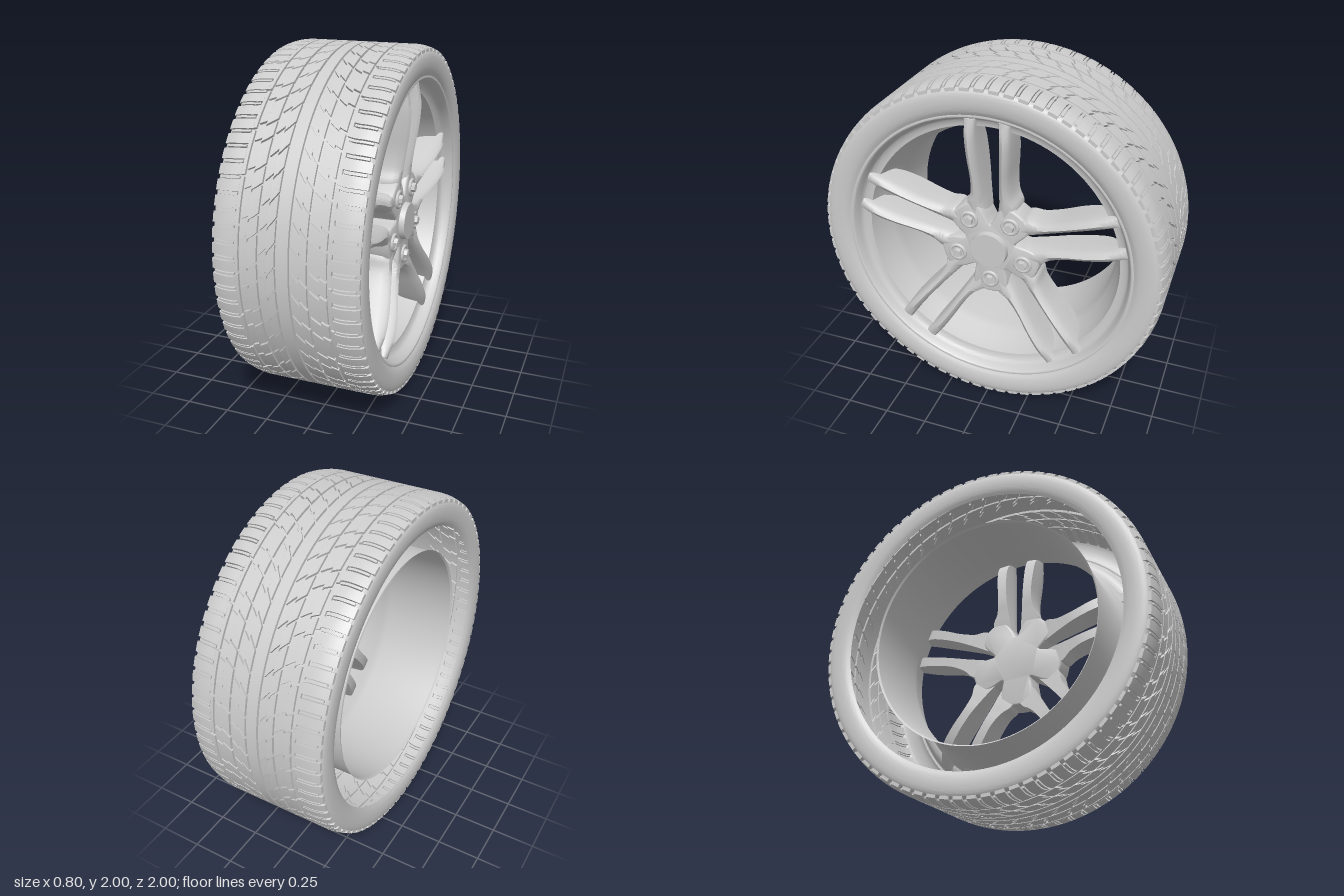
import * as THREE from 'three';
import { mergeGeometries, toCreasedNormals } from 'three/addons/utils/BufferGeometryUtils.js';

const { sin, cos, abs, max, min, PI } = Math;
const grey = new THREE.MeshStandardMaterial({ color: 0xcccccc, side: THREE.DoubleSide });
grey.name = 'light grey';

function part(name, geometry, parent) {
  const mesh = new THREE.Mesh(geometry, grey);
  mesh.name = name;
  parent.add(mesh);
  return mesh;
}

// Ring of revolution about the x axis from [radius, x] points
function ring(points, smooth = true) {
  let pts = points.map(([r, x]) => new THREE.Vector2(r, x));
  if (smooth) pts = new THREE.SplineCurve(pts).getPoints(points.length * 4);
  return toCreasedNormals(new THREE.LatheGeometry(pts, 128).rotateZ(-PI / 2), 0.6);
}

// ---- Tread: rectangular blocks bent along a sweeping curve and around the tyre
const PITCHES = 26;
const P = 2 * PI / PITCHES;
const sweep = x => 0.25 * max(0, 1 - abs(x) / 0.3) ** 2;
const crown = x => 1 - 0.02 * max(0, (abs(x) - 0.3) / 0.09) ** 2;

function treadBlock([x0, x1, t0, t1], side) {
  const g = new THREE.BoxGeometry(x1 - x0, t1 - t0, 0.03, max(2, Math.round((x1 - x0) / 0.025)), 3, 1);
  g.translate(side * (x0 + x1) / 2, (t0 + t1) / 2, -0.015);
  const p = g.attributes.position;
  for (let i = 0; i < p.count; i++) {
    const x = p.getX(i), a = p.getY(i) + sweep(x), r = crown(x) + p.getZ(i);
    p.setXYZ(i, x, r * sin(a), r * cos(a));
  }
  g.deleteAttribute('uv');
  return toCreasedNormals(g, 0.6);
}

function treadGeometry() {
  const gap = 0.014, h = P / 2, third = P / 3;
  const blocks = [
    // inner diagonal blocks with stepped edges
    [0.042, 0.085, 0, h - gap], [0.042, 0.085, h, P - gap],
    [0.085, 0.125, 0.025, h + 0.01], [0.085, 0.125, h + 0.025, P + 0.01],
    // middle blocks
    [0.138, 0.19, 0, P * 0.55], [0.138, 0.19, P * 0.55 + gap, P - gap],
    [0.19, 0.228, 0.02, P * 0.55 + 0.02], [0.19, 0.228, P * 0.55 + gap + 0.02, P + 0.006],
    // shoulder strip
    [0.238, 0.255, 0, P - gap],
  ];
  // shoulder lugs and the narrow bars between them
  for (let i = 0; i < 3; i++) {
    const t = i * third, end = t + third - 0.026;
    blocks.push([0.255, 0.39, t, end], [0.262, 0.372, end + 0.007, end + 0.019]);
  }
  const unit = mergeGeometries([1, -1].flatMap(s => blocks.map(b => treadBlock(b, s))));
  return mergeGeometries(Array.from({ length: PITCHES }, (_, i) => unit.clone().rotateX(i * P)));
}

// ---- Spokes: section lofted through stations
const SECTION = [[-1, 0], [1, 0], [1, 0.4], [0.92, 0.72], [0.65, 0.93], [0, 1],
  [-0.65, 0.93], [-0.92, 0.72], [-1, 0.4]];
// radius, inner edge, outer edge, front, back
const STATIONS = [
  [0.13, 0.02, 0.09, 0.29, 0.17], [0.25, 0.036, 0.15, 0.305, 0.15],
  [0.33, 0.046, 0.122, 0.315, 0.14], [0.43, 0.055, 0.112, 0.33, 0.13],
  [0.56, 0.062, 0.122, 0.35, 0.14], [0.68, 0.064, 0.13, 0.355, 0.18],
  [0.785, 0.06, 0.13, 0.335, 0.29],
];

function spokeGeometry(side) {
  const edges = new THREE.CatmullRomCurve3(STATIONS.map(s => new THREE.Vector3(s[0], s[1], s[2])), false, 'catmullrom');
  const depths = new THREE.CatmullRomCurve3(STATIONS.map(s => new THREE.Vector3(s[3], s[4], 0)), false, 'catmullrom');
  const section = side > 0 ? SECTION : [...SECTION].reverse();
  const n = section.length, steps = 24, pos = [], idx = [];
  for (let i = 0; i <= steps; i++) {
    const e = edges.getPoint(i / steps), d = depths.getPoint(i / steps);
    for (const [a, f] of section) {
      pos.push(side * ((e.y + e.z) / 2 + a * (e.z - e.y) / 2), e.x, d.y + f * (d.x - d.y));
    }
    if (i === steps) break;
    for (let j = 0; j < n; j++) {
      const a = i * n + j, b = i * n + (j + 1) % n;
      idx.push(a, a + n, b, b, a + n, b + n);
    }
  }
  for (let j = 1; j < n - 1; j++) { // end caps
    idx.push(0, j, j + 1, steps * n, steps * n + j + 1, steps * n + j);
  }
  const g = new THREE.BufferGeometry();
  g.setAttribute('position', new THREE.Float32BufferAttribute(pos, 3));
  g.setIndex(idx);
  return toCreasedNormals(g, 0.9);
}

// Star-like hub plate: notched at each spoke pair, full around each bolt
function hubGeometry() {
  const pts = [];
  for (let i = 0; i < 120; i++) {
    const off = abs(((i * 3 + 36) % 72) - 36);
    const k = min(1, max(0, (off - 3) / 17));
    const r = 0.145 + 0.14 * k * k * (3 - 2 * k);
    const a = PI / 2 + i * PI / 60;
    pts.push(new THREE.Vector2(r * cos(a), r * sin(a)));
  }
  const g = new THREE.ExtrudeGeometry(new THREE.Shape(pts), {
    depth: 0.11, bevelEnabled: true, bevelThickness: 0.02, bevelSize: 0.012, bevelSegments: 3,
  });
  return toCreasedNormals(g.translate(0, 0, 0.17), 0.7);
}

export function createModel() {
  const wheel = new THREE.Group();
  wheel.name = 'wheel';
  const body = new THREE.Group();
  body.name = 'wheelBody';
  body.position.y = 1;
  wheel.add(body);

  // Tyre
  const tyre = new THREE.Group();
  tyre.name = 'tyre';
  body.add(tyre);
  part('treadBase', ring([[0.968, -0.385], [0.985, -0.3], [0.985, 0.3], [0.968, 0.385]], false), tyre);
  part('centreRib', ring([[0.985, -0.031], [1, -0.03], [1, 0.03], [0.985, 0.031]], false), tyre);
  part('treadBlocks', treadGeometry(), tyre);
  for (const s of [1, -1]) {
    part(s > 0 ? 'outerSidewall' : 'innerSidewall', ring([[0.832, 0.378], [0.86, 0.393], [0.9, 0.4],
      [0.94, 0.398], [0.965, 0.388], [0.977, 0.37]].map(([r, x]) => [r, s * x])), tyre);
  }

  // Rim: straight barrel flaring to a stepped lip
  part('rimBarrel', ring([[0.685, -0.33], [0.676, -0.32], [0.676, 0.1], [0.69, 0.15], [0.72, 0.22], [0.742, 0.3]], false), body);
  part('rimLip', ring([[0.742, 0.3], [0.765, 0.305], [0.79, 0.32], [0.805, 0.355], [0.818, 0.378], [0.834, 0.378]]), body);

  // Face assembly, built facing +z then turned to +x
  const face = new THREE.Group();
  face.name = 'wheelFace';
  face.rotation.y = PI / 2;
  body.add(face);
  part('hub', hubGeometry(), face);
  const cap = part('centreCap', toCreasedNormals(new THREE.CylinderGeometry(0.105, 0.112, 0.05, 48).rotateX(PI / 2), 0.6), face);
  cap.position.z = 0.307;

  const spokes = [1, -1].map(spokeGeometry);
  const collar = new THREE.TorusGeometry(0.043, 0.011, 10, 28);
  const seat = new THREE.CylinderGeometry(0.04, 0.04, 0.01, 24).rotateX(PI / 2);
  const head = toCreasedNormals(new THREE.CylinderGeometry(0.026, 0.03, 0.03, 6).rotateX(PI / 2), 0.5);
  for (let i = 0; i < 5; i++) {
    const sector = new THREE.Group();
    sector.name = 'spokeSector' + (i + 1);
    sector.rotation.z = i * 2 * PI / 5;
    face.add(sector);
    part('leftSpoke', spokes[1], sector);
    part('rightSpoke', spokes[0], sector);
    // Bolt between this pair of spokes and the next
    const bolt = new THREE.Group();
    bolt.name = 'bolt';
    bolt.position.set(-0.205 * sin(PI / 5), 0.205 * cos(PI / 5), 0.302);
    sector.add(bolt);
    part('boltCollar', collar, bolt);
    part('boltSeat', seat, bolt);
    part('boltHead', head, bolt).position.z = 0.012;
  }
  return wheel;
}
